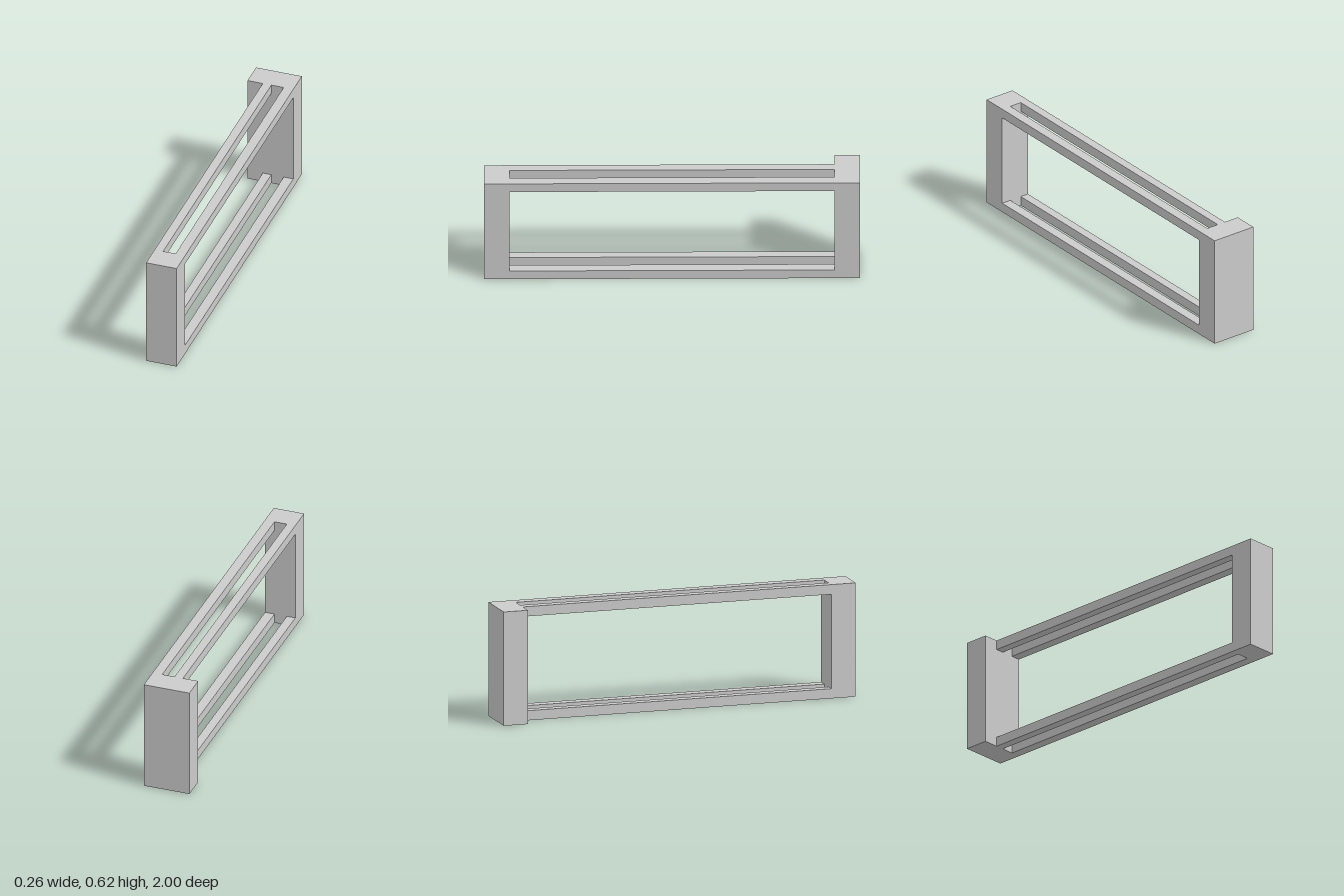
import * as THREE from 'three';

const HEIGHT = 0.62;
const RAIL = 0.053;       // rail height
const INNER = 0.864;      // inner face of the end posts
const LEFT = 0.129, RIGHT = -0.043;

export function createModel() {
  const group = new THREE.Group();
  group.name = 'frame';
  const material = new THREE.MeshStandardMaterial({ color: 0xcccccc, flatShading: true });

  // Box given by its extents along each axis
  function addBox(name, [x0, x1], [y0, y1], [z0, z1]) {
    const mesh = new THREE.Mesh(new THREE.BoxGeometry(x1 - x0, y1 - y0, z1 - z0), material);
    mesh.position.set((x0 + x1) / 2, (y0 + y1) / 2, (z0 + z1) / 2);
    mesh.name = name;
    group.add(mesh);
  }

  // End posts: the back one is wider and juts out to the right
  addBox('frontPost', [RIGHT, LEFT], [0, HEIGHT], [INNER, 1]);
  addBox('backPost', [-0.129, LEFT], [0, HEIGHT], [-1, -INNER]);

  // Paired rails joining the posts, at the bottom and the top
  const levels = { bottom: [0, RAIL], top: [HEIGHT - RAIL, HEIGHT] };
  for (const [level, y] of Object.entries(levels)) {
    addBox(level + 'RightRail', [RIGHT, 0.005], y, [-INNER, INNER]);
    addBox(level + 'LeftRail', [0.075, LEFT], y, [-INNER, INNER]);
  }
  return group;
}
